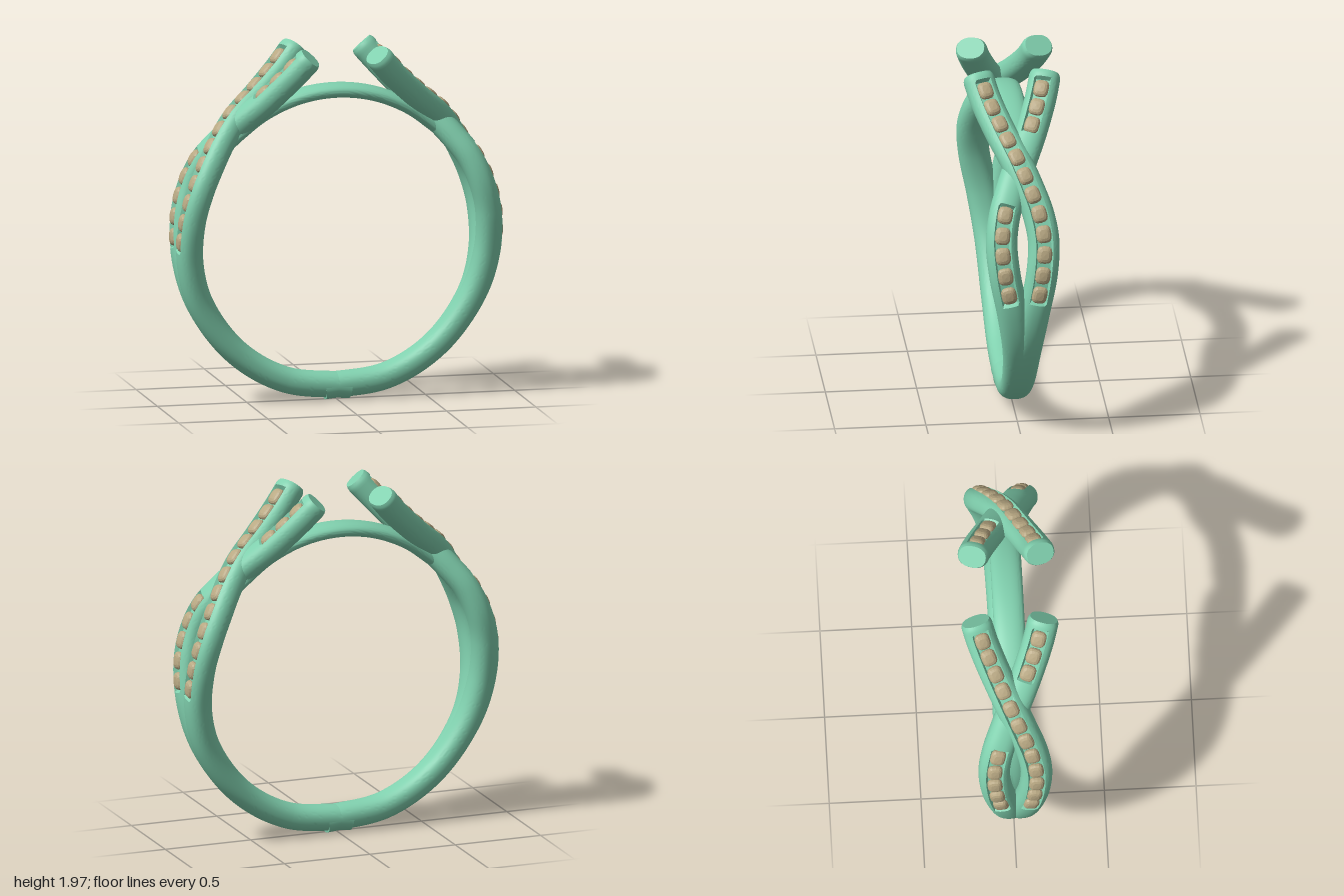
import * as THREE from 'three';
import { toCreasedNormals } from 'three/addons/utils/BufferGeometryUtils.js';

const CENTRE_Y = 0.917;
const metal = new THREE.MeshStandardMaterial({ color: 0x80d0ae });
const stone = new THREE.MeshStandardMaterial({ color: 0xb8a883, flatShading: true });
const spow = (v, e) => Math.sign(v) * Math.pow(Math.abs(v), e);

// Curve through [angle in degrees, radius, z] around the finger hole
function polarCurve(points) {
  const curve = new THREE.CatmullRomCurve3(points.map(([deg, r, z]) => {
    const a = THREE.MathUtils.degToRad(deg);
    return new THREE.Vector3(r * Math.cos(a), CENTRE_Y + r * Math.sin(a), z);
  }), false, 'centripetal');
  curve.arcLengthDivisions = 600;
  return curve;
}

// Position, tangent, outward and sideways directions along the curve
function frameAt(curve, u) {
  const p = curve.getPointAt(u);
  const t = curve.getTangentAt(u);
  const out = new THREE.Vector3(p.x, p.y - CENTRE_Y, 0);
  out.addScaledVector(t, -out.dot(t)).normalize();
  const side = new THREE.Vector3().crossVectors(out, t);
  return { p, t, out, side };
}

// Rounded bar swept along a curve; channels are [from, to] spans of length
function sweep(curve, steps, halfWidth, halfHeight, channels = []) {
  const sides = 48, floor = 0.042, channelHalf = 0.046;
  const length = curve.getLength();
  const pos = [], index = [];
  for (let j = 0; j <= steps; j++) {
    const u = j / steps, s = u * length;
    const { p, out, side } = frameAt(curve, u);
    const cut = channels.some(([a, b]) => s > a && s < b);
    const toEnd = Math.max(0, 1 - (length - s) / 0.03);
    const k = 1 - 0.12 * toEnd * toEnd;
    for (let i = 0; i < sides; i++) {
      const a = (i / sides) * Math.PI * 2;
      const w = k * halfWidth * spow(Math.cos(a), 0.88);
      let h = k * halfHeight * spow(Math.sin(a), 0.88);
      if (cut && h > 0 && Math.abs(w) < channelHalf) h = floor;
      const v = p.clone().addScaledVector(side, w).addScaledVector(out, h);
      pos.push(v.x, v.y, v.z);
    }
  }
  for (let j = 0; j < steps; j++) {
    for (let i = 0; i < sides; i++) {
      const n = (i + 1) % sides;
      const a = j * sides + i, b = j * sides + n;
      index.push(a, b, b + sides, a, b + sides, a + sides);
    }
  }
  // End caps
  const first = curve.getPointAt(0), last = curve.getPointAt(1);
  const c0 = pos.length / 3, c1 = c0 + 1, base = steps * sides;
  pos.push(first.x, first.y, first.z, last.x, last.y, last.z);
  for (let i = 0; i < sides; i++) {
    const n = (i + 1) % sides;
    index.push(c0, n, i, c1, base + i, base + n);
  }
  const geo = new THREE.BufferGeometry();
  geo.setAttribute('position', new THREE.Float32BufferAttribute(pos, 3));
  geo.setIndex(index);
  return toCreasedNormals(geo, 0.75);
}

// Cushion-shaped stone: a sphere squared off by a power rule
function gemGeometry() {
  const geo = new THREE.SphereGeometry(1, 16, 8);
  const p = geo.attributes.position;
  for (let i = 0; i < p.count; i++) {
    const y = p.getY(i), ring = Math.hypot(p.getX(i), p.getZ(i)) || 1;
    const r = Math.pow(Math.max(0, 1 - y * y), 0.35);
    p.setXYZ(i, 0.042 * r * spow(p.getX(i) / ring, 0.65), 0.025 * y,
      0.049 * r * spow(p.getZ(i) / ring, 0.65));
  }
  geo.computeVertexNormals();
  return geo;
}

// Length along the curve at which it reaches a given angle
function lengthAtAngle(curve, deg) {
  const n = 500;
  for (let i = 0; i <= n; i++) {
    const p = curve.getPointAt(i / n);
    const a = THREE.MathUtils.radToDeg(Math.atan2(p.y - CENTRE_Y, p.x));
    if (a >= deg) return (i / n) * curve.getLength();
  }
  return curve.getLength();
}

// One strand with its channels and the stones set in them
function strand(name, points, spans, gem) {
  const group = new THREE.Group();
  group.name = name;
  const curve = polarCurve(points);
  const length = curve.getLength();
  const channels = spans.map(([from, to]) => [
    lengthAtAngle(curve, from),
    to === null ? length - 0.055 : lengthAtAngle(curve, to),
  ]);
  const body = new THREE.Mesh(sweep(curve, 190, 0.086, 0.071, channels), metal);
  body.name = name + 'Body';
  group.add(body);
  channels.forEach(([a, b], c) => {
    const count = spans[c][2], pitch = (b - a) / count;
    for (let i = 0; i < count; i++) {
      const { p, t, out, side } = frameAt(curve, (a + (i + 0.5) * pitch) / length);
      const mesh = new THREE.Mesh(gem, stone);
      mesh.name = 'stone';
      mesh.quaternion.setFromRotationMatrix(new THREE.Matrix4().makeBasis(side, out, t));
      mesh.position.copy(p).addScaledVector(out, 0.05);
      group.add(mesh);
    }
  });
  return group;
}

export function createModel() {
  const model = new THREE.Group();
  model.name = 'ring';
  const gem = gemGeometry();

  const lower = [[-95, 0.838, 0], [-70, 0.838, 0], [-48, 0.838, -0.004], [-25, 0.838, -0.022],
    [-8, 0.838, -0.058], [8, 0.838, -0.102], [20, 0.838, -0.115], [30, 0.84, -0.093]];
  const over = [...lower, [40, 0.852, -0.045], [50, 0.87, 0.012], [62, 0.89, 0.085],
    [73, 0.957, 0.15], [79.7, 1.04, 0.186]];
  const under = [...lower, [40, 0.835, -0.045], [50, 0.843, 0.012], [62, 0.875, 0.085],
    [73, 0.957, 0.15], [79.7, 1.04, 0.186]].map(([a, r, z]) => [a, r, -z]);

  // Both halves are the same, turned half way round the upright axis
  for (const turn of [0, Math.PI]) {
    const half = new THREE.Group();
    half.name = turn ? 'rightHalf' : 'leftHalf';
    half.add(strand('upperStrand', over, [[-3, null, 12]], gem));
    half.add(strand('lowerStrand', under, [[-3, 33, 5], [60, null, 3]], gem));
    half.rotation.y = turn;
    model.add(half);
  }

  // Thin bridge closing the finger hole at the top
  const bridgePoints = [38, 48, 60, 75, 90, 105, 120, 132, 142]
    .map((a) => [a, 0.805 + (Math.abs(a - 90) > 45 ? 0.015 : 0), 0]);
  const bridge = new THREE.Mesh(sweep(polarCurve(bridgePoints), 60, 0.085, 0.04), metal);
  bridge.name = 'bridge';
  model.add(bridge);
  return model;
}
